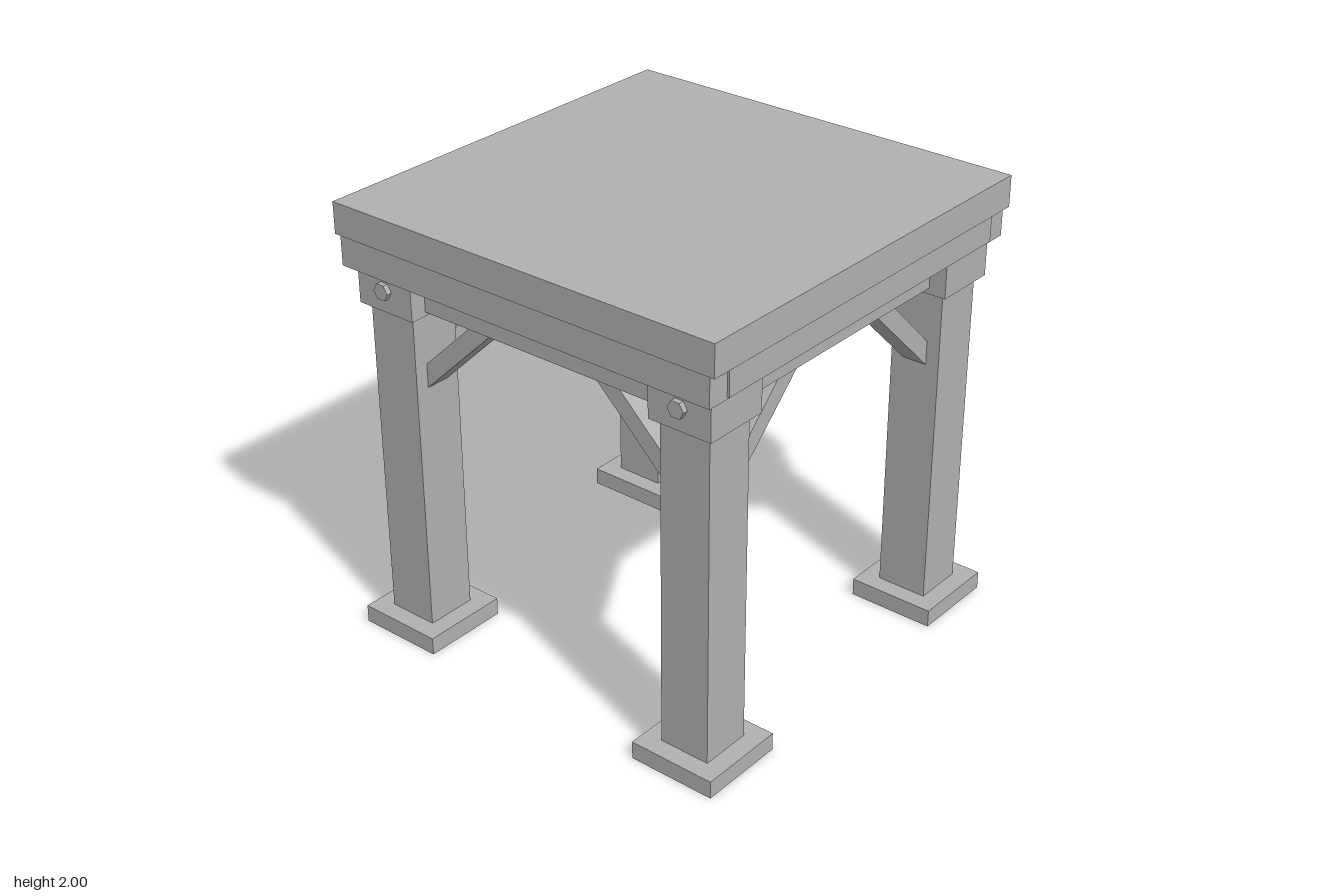
import * as THREE from 'three';

export function createModel() {
  const model = new THREE.Group();
  model.name = 'timberTable';
  const grey = new THREE.MeshStandardMaterial({ color: 0xb0b0b0 });
  grey.name = 'plainGrey';

  const add = (name, geometry, parent = model) => {
    const mesh = new THREE.Mesh(geometry, grey);
    mesh.name = name;
    parent.add(mesh);
    return mesh;
  };

  // Box given by its lower and upper corners
  const box = (name, [x0, y0, z0], [x1, y1, z1], parent) => {
    const mesh = add(name, new THREE.BoxGeometry(x1 - x0, y1 - y0, z1 - z0), parent);
    mesh.position.set((x0 + x1) / 2, (y0 + y1) / 2, (z0 + z1) / 2);
    return mesh;
  };

  // Diagonal brace outline: post foot, beam head, extruded across its width
  const braceGeometry = (top, headIn, headOut) => {
    const shape = new THREE.Shape([
      new THREE.Vector2(0.645, 1.21),
      new THREE.Vector2(0.645, 1.32),
      new THREE.Vector2(headOut, top),
      new THREE.Vector2(headIn, top),
    ]);
    const g = new THREE.ExtrudeGeometry(shape, { depth: 0.115, bevelEnabled: false });
    return g.translate(0, 0, 0.7);
  };
  const frontBrace = braceGeometry(1.575, 0.265, 0.377);
  const sideBrace = braceGeometry(1.585, 0.255, 0.375);

  // Slab
  box('topSlab', [-0.965, 1.86, -0.965], [0.965, 2, 0.965]);

  // Legs: foot, post, cap and hexagonal bolt
  const c = 0.76;
  for (const sx of [-1, 1]) {
    for (const sz of [-1, 1]) {
      const leg = new THREE.Group();
      leg.name = 'leg';
      leg.position.set(sx * c, 0, sz * c);
      model.add(leg);
      box('foot', [-0.2, 0, -0.2], [0.2, 0.08, 0.2], leg);
      box('post', [-0.117, 0.08, -0.117], [0.117, 1.56, 0.117], leg);
      box('cap', [-0.148, 1.555, -0.15], [0.148, 1.725, 0.15], leg);
      const boltGeometry = new THREE.CylinderGeometry(0.039, 0.039, 0.04, 6).toNonIndexed();
      boltGeometry.rotateY(Math.PI / 2).rotateX(Math.PI / 2);
      boltGeometry.computeVertexNormals();
      add('bolt', boltGeometry, leg).position.set(0, 1.652, sz * 0.153);
    }
  }

  for (const s of [-1, 1]) {
    // Fascia boards under the slab
    const fz = s * 0.9, fx = s * 0.893;
    box('endFascia', [-0.94, 1.727, fz - 0.06], [0.94, 1.86, fz + 0.06]);
    box('sideFascia', [fx - 0.057, 1.737, -0.86], [fx + 0.057, 1.86, 0.86]);

    // Beams between the caps
    const b = s * c;
    box('endBeam', [-0.63, 1.573, b - 0.075], [0.63, 1.725, b + 0.075]);
    box('sideBeam', [b - 0.07, 1.583, -0.63], [b + 0.07, 1.72, 0.63]);
  }

  // Two braces under each beam, turned around the frame
  for (let side = 0; side < 4; side++) {
    const frame = new THREE.Group();
    frame.name = 'bracePair';
    frame.rotation.y = (side * Math.PI) / 2;
    model.add(frame);
    const geometry = side % 2 ? sideBrace : frontBrace;
    add('brace', geometry, frame);
    // The opposite brace is the same piece turned half round
    const opposite = add('brace', geometry, frame);
    opposite.rotation.y = Math.PI;
    opposite.position.z = 2 * 0.7575;
  }

  return model;
}
